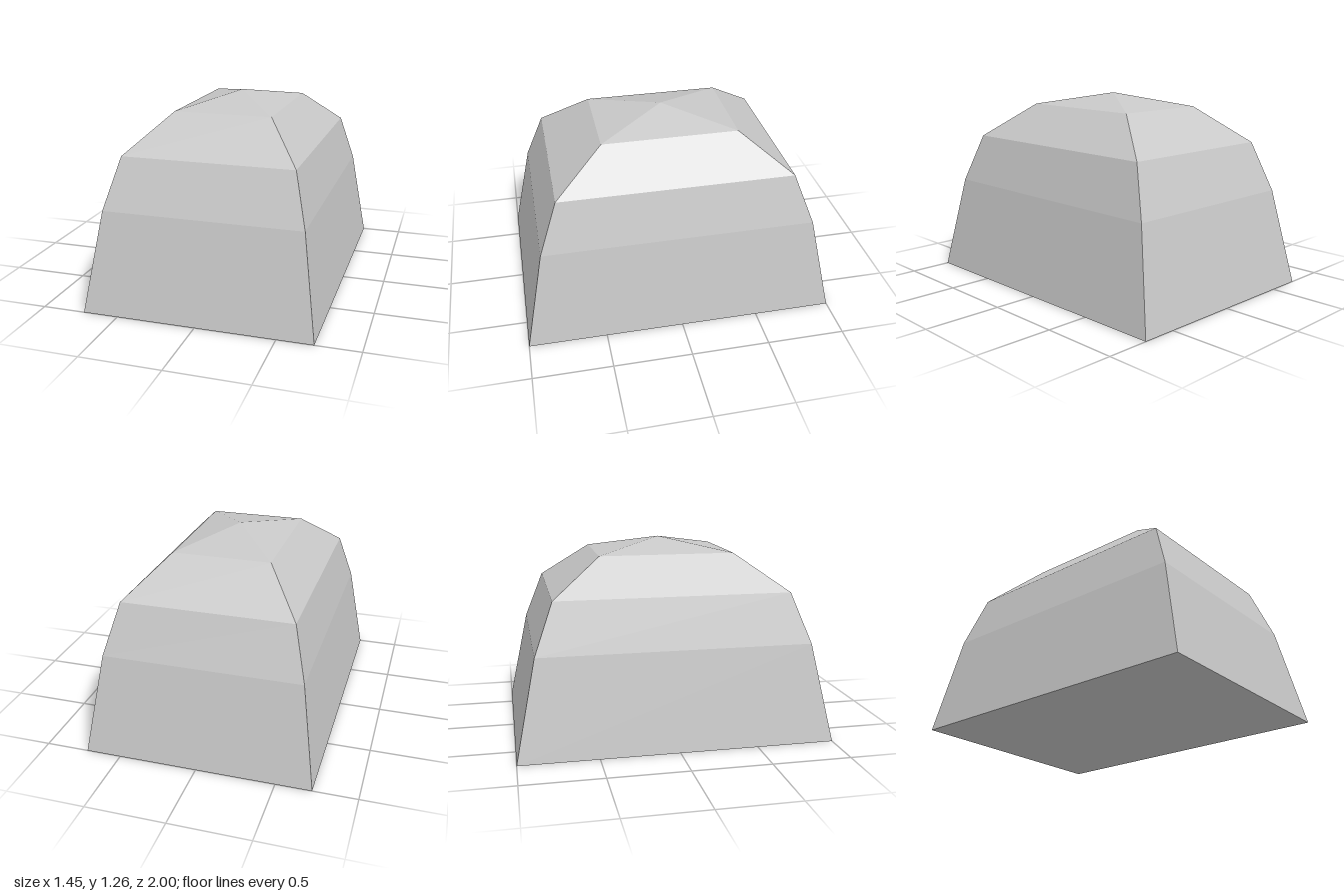
import * as THREE from 'three';

const stone = new THREE.MeshStandardMaterial({ color: 0xc8c8c8 });
stone.name = 'light grey';

// Rectangular rings from the base to the peak: [half width, height, half depth]
const rings = [
  [0.725, 0, 1],
  [0.63, 0.63, 0.87],
  [0.545, 0.95, 0.75],
  [0.315, 1.18, 0.435],
];
const peak = [0, 1.265, 0];

// Corners of a ring, counter-clockwise seen from above
const corners = ([w, y, d]) => [[w, y, d], [w, y, -d], [-w, y, -d], [-w, y, d]];

function domeGeometry() {
  const points = [];
  const tri = (a, b, c) => points.push(...a, ...b, ...c);
  const loops = rings.map(corners);
  for (let i = 0; i < 4; i++) {
    const j = (i + 1) % 4;
    // Sloping side bands
    for (let k = 0; k < loops.length - 1; k++) {
      const lower = loops[k], upper = loops[k + 1];
      tri(lower[i], lower[j], upper[j]);
      tri(lower[i], upper[j], upper[i]);
    }
    // Shallow pyramid cap
    const top = loops[loops.length - 1];
    tri(top[i], top[j], peak);
  }
  // Flat underside
  const base = loops[0];
  tri(base[0], base[2], base[1]);
  tri(base[0], base[3], base[2]);

  const geometry = new THREE.BufferGeometry();
  geometry.setAttribute('position', new THREE.Float32BufferAttribute(points, 3));
  geometry.computeVertexNormals(); // unshared corners keep the facets flat
  return geometry;
}

export function createModel() {
  const group = new THREE.Group();
  group.name = 'facetedDome';
  const dome = new THREE.Mesh(domeGeometry(), stone);
  dome.name = 'domeBody';
  group.add(dome);
  return group;
}
